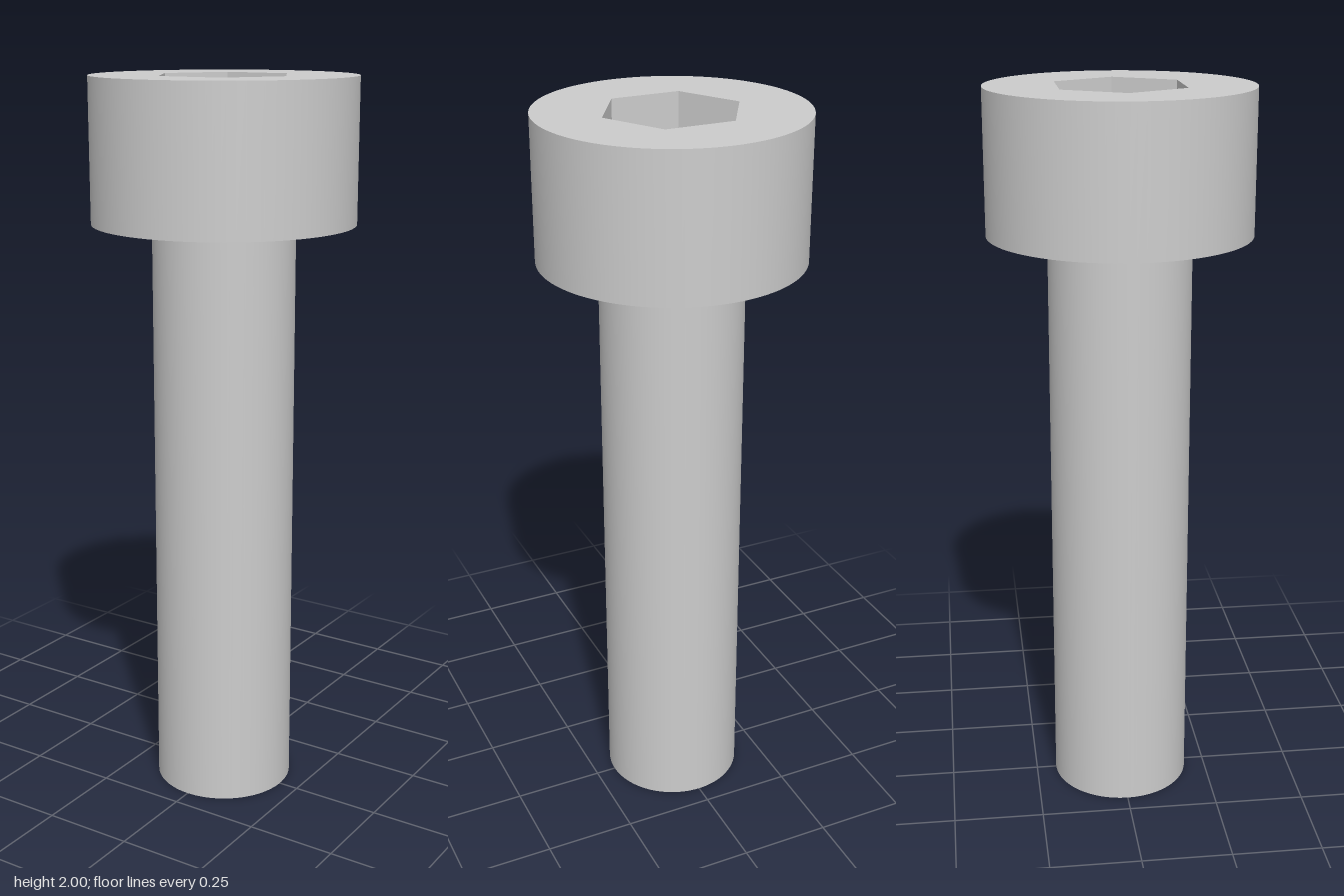
import * as THREE from 'three';

const SEGMENTS = 96;
const HEAD_R = 0.355, SHAFT_R = 0.193, SOCKET_R = 0.188;
const TOP = 2, HEAD_BASE = 1.615, SOCKET_DEPTH = 0.19;

export function createModel() {
  const model = new THREE.Group();
  model.name = 'socketHeadBolt';
  const steel = new THREE.MeshStandardMaterial({ color: 0xcccccc });
  steel.name = 'steel grey';

  const add = (parent, name, geometry, y) => {
    const mesh = new THREE.Mesh(geometry, steel);
    mesh.name = name;
    mesh.position.y = y;
    parent.add(mesh);
  };

  // Plain cylindrical shaft
  add(model, 'shaft', new THREE.CylinderGeometry(SHAFT_R, SHAFT_R, HEAD_BASE, SEGMENTS), HEAD_BASE / 2);

  const head = new THREE.Group();
  head.name = 'head';
  model.add(head);

  // Outer wall and underside of the head
  const headHeight = TOP - HEAD_BASE;
  add(head, 'headWall',
    new THREE.CylinderGeometry(HEAD_R, HEAD_R, headHeight, SEGMENTS, 1, true), HEAD_BASE + headHeight / 2);
  add(head, 'headUnderside',
    new THREE.RingGeometry(SHAFT_R, HEAD_R, SEGMENTS).rotateX(Math.PI / 2), HEAD_BASE);

  // Top face with a hexagonal opening, corners on the x axis
  const hexagon = Array.from({ length: 6 }, (_, i) => {
    const a = i * Math.PI / 3;
    return new THREE.Vector2(SOCKET_R * Math.cos(a), SOCKET_R * Math.sin(a));
  });
  const face = new THREE.Shape().absarc(0, 0, HEAD_R, 0, Math.PI * 2);
  face.holes.push(new THREE.Path(hexagon));
  add(head, 'headTop', new THREE.ShapeGeometry(face, SEGMENTS / 2).rotateX(-Math.PI / 2), TOP);

  // Socket walls: a six-sided tube mirrored so that it faces inward
  const walls = new THREE.CylinderGeometry(SOCKET_R, SOCKET_R, SOCKET_DEPTH, 6, 1, true, Math.PI / 6)
    .scale(-1, 1, 1).toNonIndexed();
  walls.computeVertexNormals();
  add(head, 'socketWalls', walls, TOP - SOCKET_DEPTH / 2);

  // Socket floor
  add(head, 'socketFloor',
    new THREE.CircleGeometry(SOCKET_R, 6).rotateX(-Math.PI / 2), TOP - SOCKET_DEPTH);

  return model;
}
